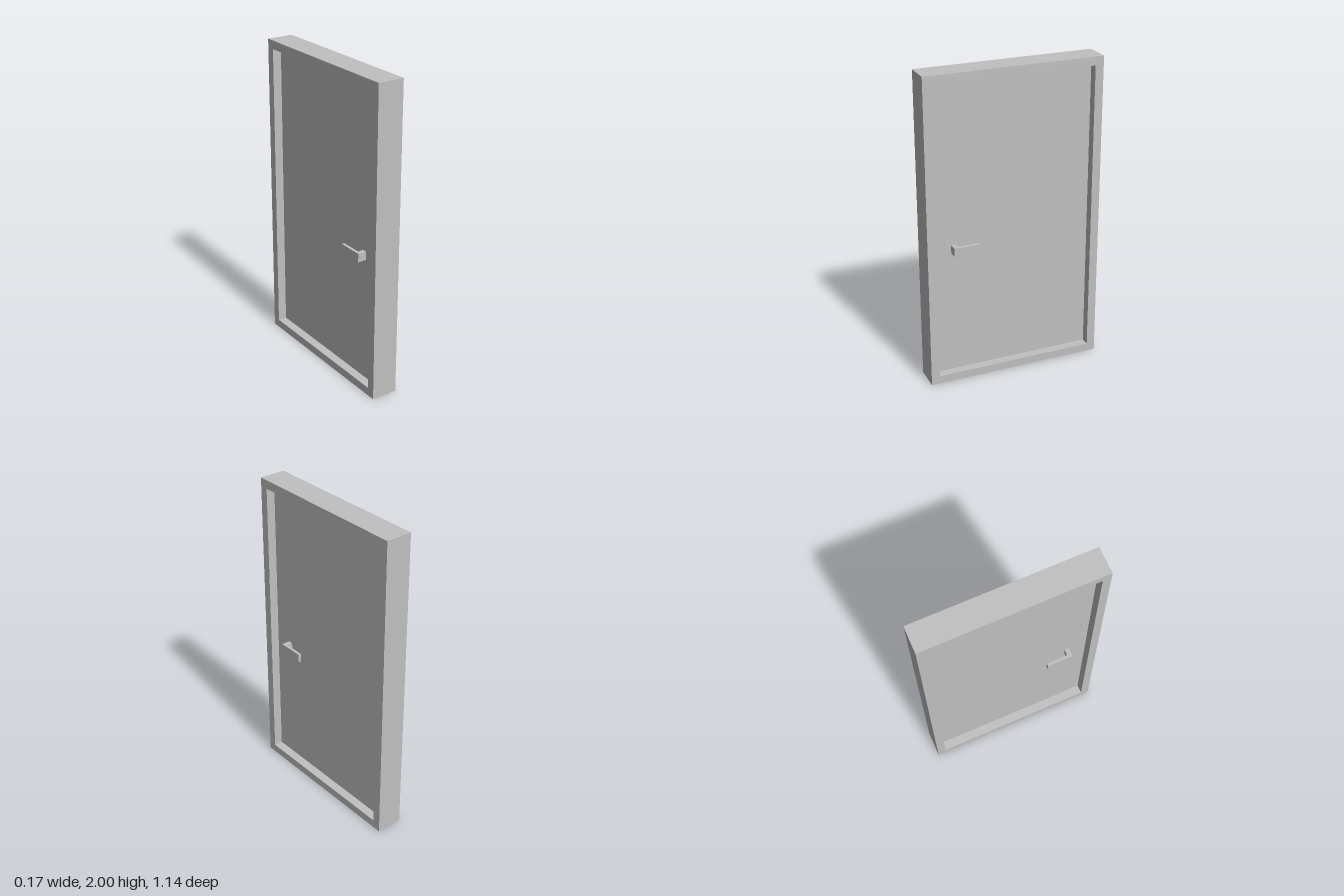
import * as THREE from 'three';

export function createModel() {
  const model = new THREE.Group();
  const grey = new THREE.MeshStandardMaterial({ color: 0xc0c0c0 });
  grey.name = 'lightGrey';

  const depth = 0.17;          // frame thickness along x
  const halfWidth = 0.57;
  const openHalf = 0.516, openBottom = 0.053, openTop = 1.945;
  const panelHalf = 0.028;     // half the door leaf thickness

  const box = (name, x0, x1, y0, y1, z0, z1, parent = model) => {
    const mesh = new THREE.Mesh(new THREE.BoxGeometry(x1 - x0, y1 - y0, z1 - z0), grey);
    mesh.position.set((x0 + x1) / 2, (y0 + y1) / 2, (z0 + z1) / 2);
    mesh.name = name;
    parent.add(mesh);
  };

  const rectangle = (Type, w, y0, y1) => new Type([
    new THREE.Vector2(-w, y0), new THREE.Vector2(w, y0),
    new THREE.Vector2(w, y1), new THREE.Vector2(-w, y1),
  ]);

  // Door frame: one extruded rectangle with the opening cut out
  const outline = rectangle(THREE.Shape, halfWidth, 0, 2);
  outline.holes.push(rectangle(THREE.Path, openHalf, openBottom, openTop));
  const frameGeometry = new THREE.ExtrudeGeometry(outline, { depth, bevelEnabled: false });
  frameGeometry.translate(0, 0, -depth / 2).rotateY(Math.PI / 2);
  const frame = new THREE.Mesh(frameGeometry, grey);
  frame.name = 'doorFrame';
  model.add(frame);

  // Door leaf, recessed on both sides
  box('doorLeaf', -panelHalf, panelHalf, openBottom, openTop, -openHalf, openHalf);

  // L-shaped lever handle on each side: short stem and flat grip
  for (const side of [1, -1]) {
    const handle = new THREE.Group();
    handle.name = side > 0 ? 'leftHandle' : 'rightHandle';
    const span = (name, a, b, z0) =>
      box(name, Math.min(side * a, side * b), Math.max(side * a, side * b), 0.86, 0.915, z0, 0.4, handle);
    span('handleStem', panelHalf, 0.066, 0.37);
    span('handleGrip', 0.066, 0.085, 0.23);
    model.add(handle);
  }

  return model;
}
